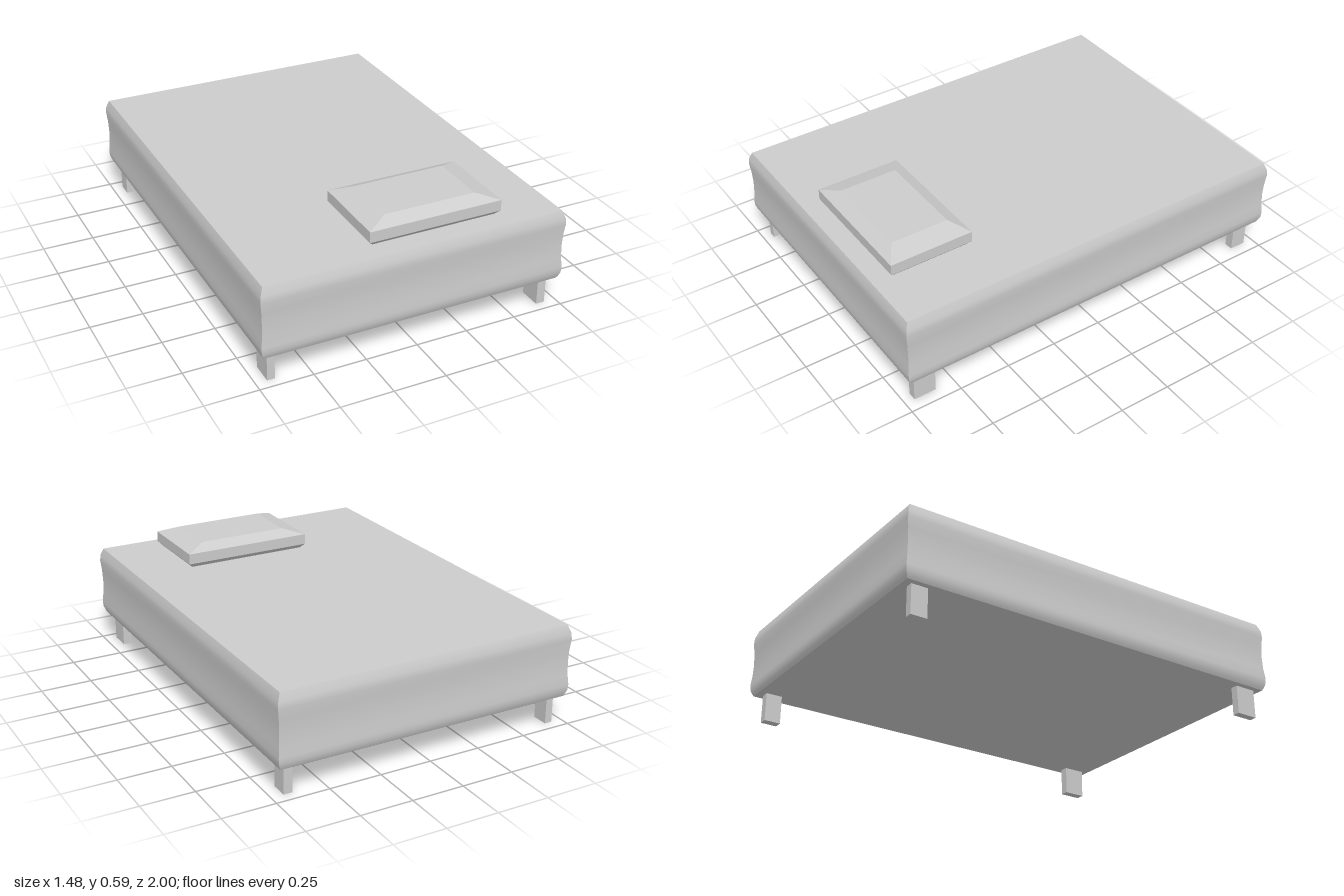
import * as THREE from 'three';

const material = new THREE.MeshStandardMaterial({ color: 0xcccccc });
const flatMaterial = new THREE.MeshStandardMaterial({ color: 0xcccccc, flatShading: true });

// Rectangular loft: each ring is [y, halfWidth, halfDepth].
// Every side has its own vertices, so it is smooth vertically and sharp at the corners.
function loftBox(rings) {
  const positions = [];
  const indices = [];
  const corners = [[-1, 1], [1, 1], [1, -1], [-1, -1]];
  const point = ([y, w, d], [sx, sz]) => positions.push(sx * w, y, sz * d);

  for (let side = 0; side < 4; side++) {
    const start = positions.length / 3;
    rings.forEach((ring, i) => {
      point(ring, corners[side]);
      point(ring, corners[(side + 1) % 4]);
      if (i === 0) return;
      const a = start + (i - 1) * 2;
      indices.push(a, a + 1, a + 3, a, a + 3, a + 2);
    });
  }
  // Flat caps
  [[rings[0], true], [rings[rings.length - 1], false]].forEach(([ring, down]) => {
    const s = positions.length / 3;
    corners.forEach((c) => point(ring, c));
    indices.push(...(down ? [s, s + 2, s + 1, s, s + 3, s + 2] : [s, s + 1, s + 2, s, s + 2, s + 3]));
  });

  const geometry = new THREE.BufferGeometry();
  geometry.setAttribute('position', new THREE.Float32BufferAttribute(positions, 3));
  geometry.setIndex(indices);
  geometry.computeVertexNormals();
  return geometry;
}

export function createModel() {
  const group = new THREE.Group();
  const add = (name, geometry, mat, x, y, z) => {
    const mesh = new THREE.Mesh(geometry, mat);
    mesh.name = name;
    mesh.position.set(x, y, z);
    group.add(mesh);
  };

  // Mattress with rolled edges and a slight waist: [y, inset]
  const profile = [
    [0.14, 0.015], [0.152, 0.009], [0.172, 0.002], [0.2, 0], [0.25, 0.005], [0.31, 0.007],
    [0.37, 0.005], [0.42, 0], [0.452, 0.002], [0.49, 0.016],
  ];
  add('mattress', loftBox(profile.map(([y, inset]) => [y, 0.738 - inset, 1 - inset])), material, 0, 0, 0);

  // Pillow with bevelled top and bottom
  add('pillow', loftBox([
    [0, 0.302, 0.184], [0.022, 0.323, 0.204], [0.074, 0.323, 0.204], [0.104, 0.223, 0.14],
  ]), flatMaterial, 0.132, 0.49, 0.696);

  // Legs: inner and outer limits in x for each side, in z for each end
  const sides = [['left', 0.65, 0.692], ['right', -0.696, -0.66]];
  const ends = [['front', 0.845, 0.953], ['back', -0.95, -0.87]];
  for (const [side, x0, x1] of sides) {
    for (const [end, z0, z1] of ends) {
      const leg = new THREE.BoxGeometry(x1 - x0, 0.14, z1 - z0);
      add(`${end} ${side} leg`, leg, flatMaterial, (x0 + x1) / 2, 0.07, (z0 + z1) / 2);
    }
  }
  return group;
}
